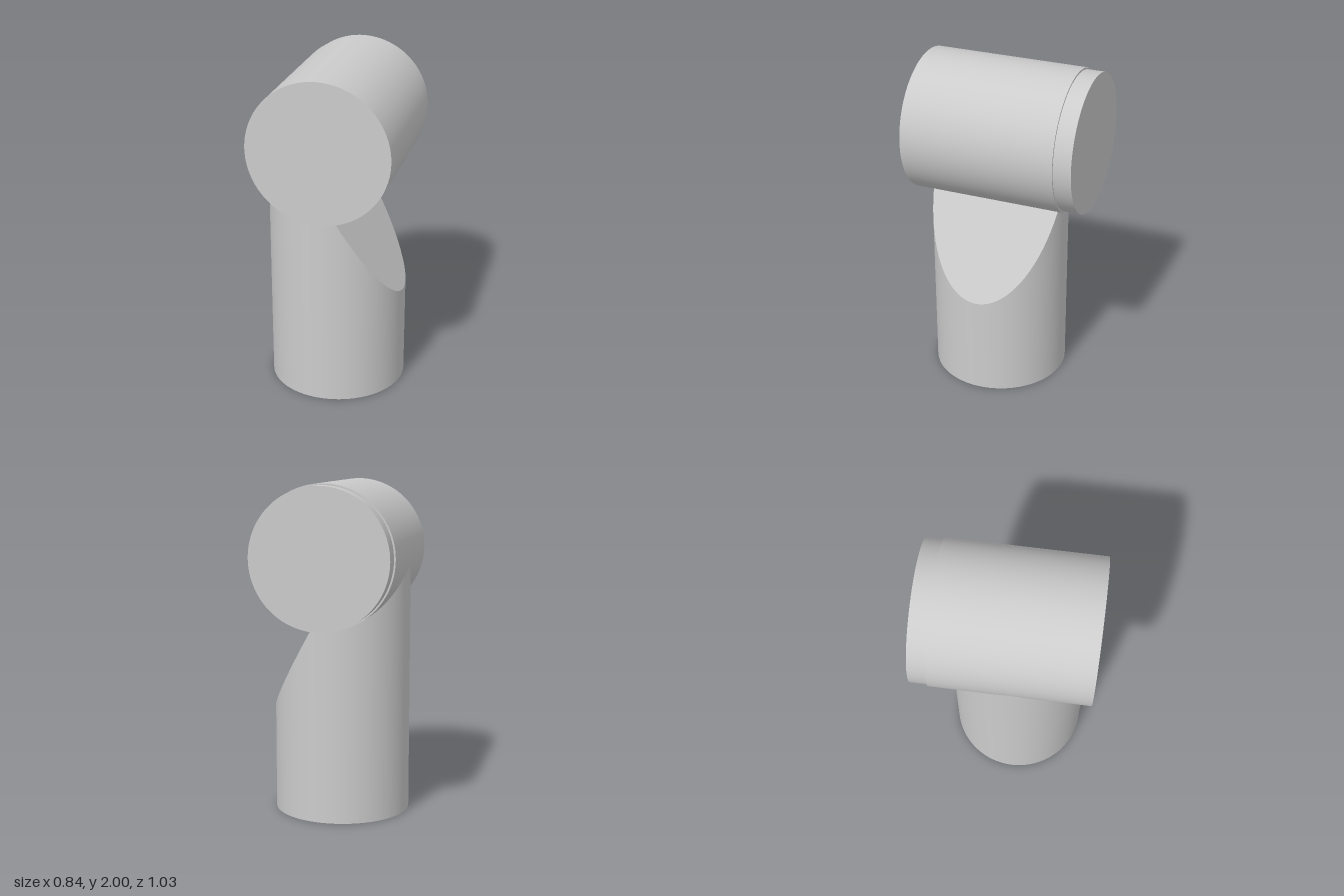
import * as THREE from 'three';

const SEGMENTS = 96;
const HEAD_Y = 1.58;
const material = new THREE.MeshStandardMaterial({ color: 0xcccccc });

// Closed cylinder lying along z between two depths
function barrel(name, radius, zBack, zFront) {
  const geometry = new THREE.CylinderGeometry(radius, radius, zFront - zBack, SEGMENTS);
  geometry.rotateX(Math.PI / 2);
  geometry.translate(0, HEAD_Y, (zBack + zFront) / 2);
  const mesh = new THREE.Mesh(geometry, material);
  mesh.name = name;
  return mesh;
}

// Upright post, its top cut at 60 degrees and ending inside the head
function post() {
  const radius = 0.41, lowEdge = 0.605, slope = Math.sqrt(3);
  const geometry = new THREE.CylinderGeometry(radius, radius, 1, SEGMENTS);
  geometry.translate(0, 0.5, 0);
  const { position, normal } = geometry.attributes;
  for (let i = 0; i < position.count; i++) {
    if (position.getY(i) < 0.5) {
      position.setY(i, 0);
      continue;
    }
    const cut = lowEdge + slope * (radius - position.getX(i));
    position.setY(i, Math.min(cut, HEAD_Y));
    if (normal.getY(i) > 0.5) normal.setXYZ(i, Math.sqrt(3) / 2, 0.5, 0);
  }
  const mesh = new THREE.Mesh(geometry, material);
  mesh.name = 'post';
  mesh.position.z = 0.066;
  return mesh;
}

export function createModel() {
  const group = new THREE.Group();
  group.name = 'angledPostWithHead';
  group.add(
    post(),
    barrel('head', 0.42, -0.408, 0.513),
    barrel('rearCap', 0.41, -0.513, -0.408),
  );
  return group;
}
